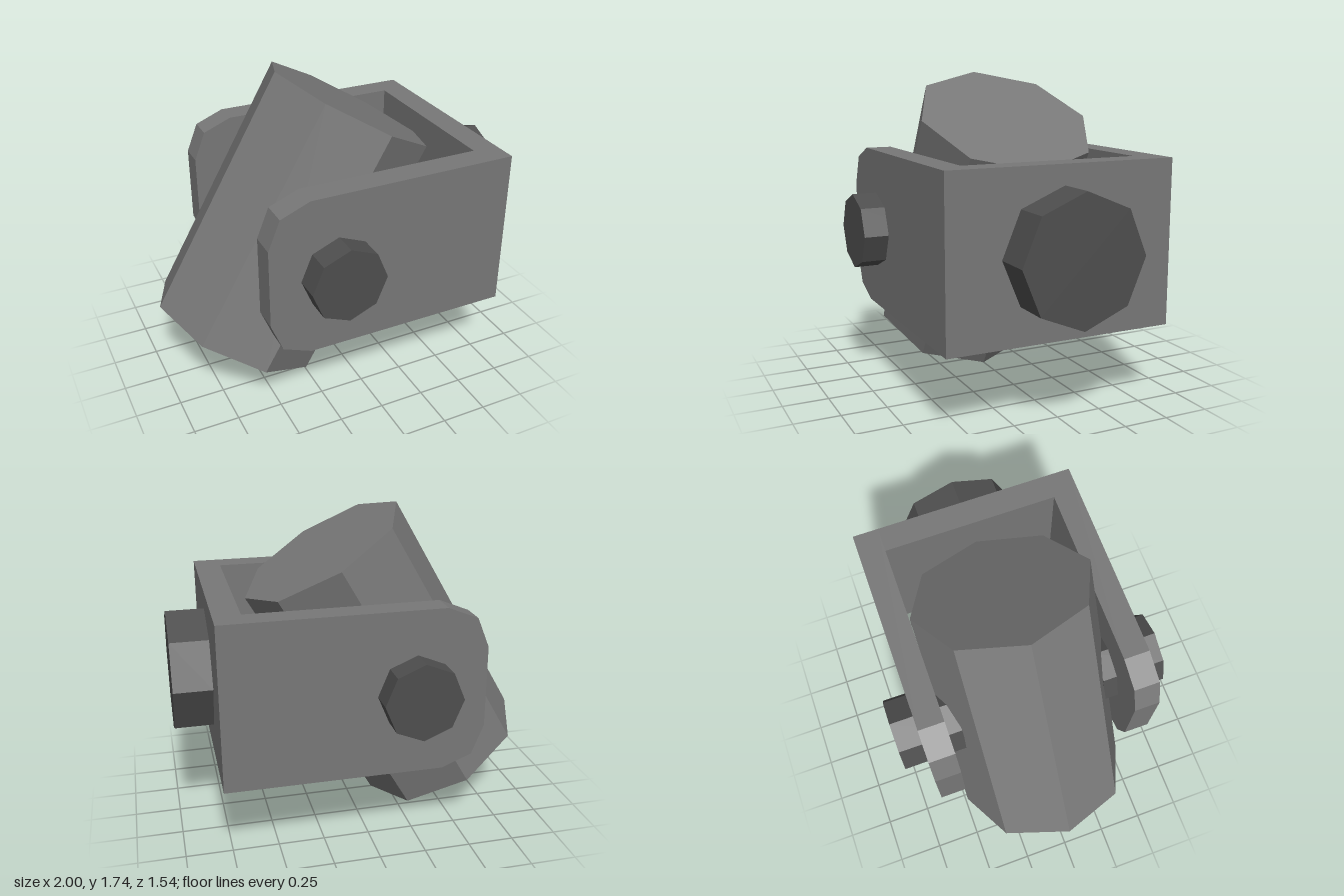
import * as THREE from 'three';

const bodyMaterial = new THREE.MeshStandardMaterial({ color: 0x777777, flatShading: true });
const boltMaterial = new THREE.MeshStandardMaterial({ color: 0x4e4e4e, flatShading: true });
const lensMaterial = new THREE.MeshStandardMaterial({ color: 0xf0f094, flatShading: true });

const SIDES = 8;
const PIVOT = new THREE.Vector2(-0.216, 0.871); // tilt axis of the lamp
const CAN = { radius: 0.49, inner: 0.41, half: 0.722, recess: 0.09 };
const ARM = { inner: 0.49, outer: 0.633 };
const END_X = 0.793;

function part(name, geometry, material) {
  const mesh = new THREE.Mesh(geometry, material);
  mesh.name = name;
  return mesh;
}

// Tilted lamp: octagonal can, closed on top, recessed lens below
function createLamp() {
  const lamp = new THREE.Group();
  lamp.name = 'lamp';
  const { radius, inner, half, recess } = CAN;
  const profile = [
    [inner, recess - half], [inner, -half], [radius, -half], [radius, half], [0, half],
  ].map(([x, y]) => new THREE.Vector2(x, y));
  lamp.add(part('lampCan', new THREE.LatheGeometry(profile, SIDES), bodyMaterial));

  const lens = part('lens', new THREE.CircleGeometry(inner, SIDES).rotateX(Math.PI / 2), lensMaterial);
  lens.position.y = recess - half;
  lamp.add(lens);

  lamp.position.set(PIVOT.x, PIVOT.y, 0);
  lamp.rotation.z = -Math.PI / 6;
  return lamp;
}

// U-shaped bracket: two arms with clipped ends joined by a plate
function createBracket() {
  const bracket = new THREE.Group();
  bracket.name = 'bracket';
  const h = 0.446;
  const thickness = ARM.outer - ARM.inner;
  const outline = new THREE.Shape([
    [END_X, -h], [END_X, h], [-0.37, h], [-0.53, 0.381], [-0.595, 0.22],
    [-0.595, -0.22], [-0.53, -0.381], [-0.37, -h],
  ].map(([x, y]) => new THREE.Vector2(x, y + PIVOT.y)));
  const armGeometry = new THREE.ExtrudeGeometry(outline, { depth: thickness, bevelEnabled: false });

  for (const [name, z] of [['frontArm', ARM.inner], ['backArm', -ARM.outer]]) {
    const arm = part(name, armGeometry, bodyMaterial);
    arm.position.z = z;
    bracket.add(arm);
  }

  const plate = part('endPlate', new THREE.BoxGeometry(thickness, 2 * h, 2 * ARM.inner), bodyMaterial);
  plate.position.set(END_X - thickness / 2, PIVOT.y, 0);
  bracket.add(plate);
  return bracket;
}

export function createModel() {
  const model = new THREE.Group();
  model.name = 'spotlight';
  model.add(createLamp(), createBracket());

  // Dark pivot bolts running through each arm into the can
  const boltGeometry = new THREE.CylinderGeometry(0.208, 0.208, 0.358, SIDES).rotateX(Math.PI / 2);
  for (const side of [1, -1]) {
    const bolt = part(side > 0 ? 'frontBolt' : 'backBolt', boltGeometry, boltMaterial);
    bolt.position.set(PIVOT.x, PIVOT.y, side * 0.589);
    model.add(bolt);
  }

  // Dark mounting boss on the end plate
  const bossGeometry = new THREE.CylinderGeometry(0.34, 0.34, 0.207, SIDES).rotateZ(Math.PI / 2);
  const boss = part('mountBoss', bossGeometry, boltMaterial);
  boss.position.set(END_X + 0.1035, PIVOT.y, 0);
  model.add(boss);

  return model;
}
